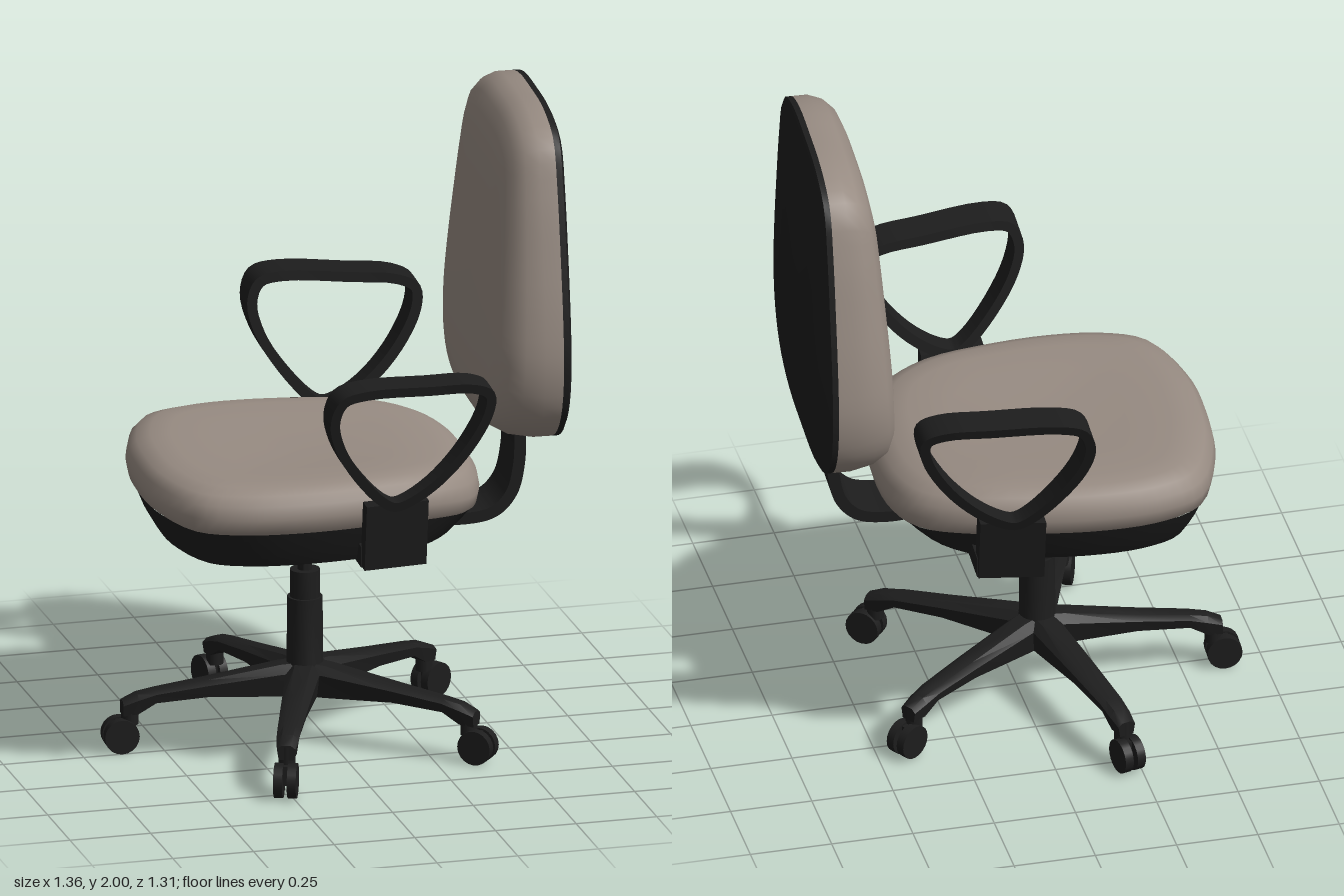
import * as THREE from 'three';
import { toCreasedNormals } from 'three/addons/utils/BufferGeometryUtils.js';

const fabric = new THREE.MeshStandardMaterial({ color: 0x978b82 });
fabric.name = 'taupe fabric';
const plastic = new THREE.MeshStandardMaterial({ color: 0x1d1d1d });
plastic.name = 'black plastic';

function add(parent, name, geometry, material, x = 0, y = 0, z = 0) {
  const mesh = new THREE.Mesh(geometry, material);
  mesh.name = name;
  mesh.position.set(x, y, z);
  parent.add(mesh);
  return mesh;
}

// Skin over rings of [x, y, z] points, each counterclockwise about the direction of travel
function skin(rings, loop = false, crease = 0.7) {
  const n = rings[0].length, index = [];
  const count = loop ? rings.length : rings.length - 1;
  for (let i = 0; i < count; i++) {
    const k = (i + 1) % rings.length;
    for (let j = 0; j < n; j++) {
      const m = (j + 1) % n;
      const a = i * n + j, b = i * n + m, c = k * n + m, d = k * n + j;
      index.push(a, b, c, a, c, d);
    }
  }
  const g = new THREE.BufferGeometry();
  g.setAttribute('position', new THREE.Float32BufferAttribute(rings.flat(2), 3));
  g.setIndex(index);
  return toCreasedNormals(g, crease);
}

// Smooth closed outline from one half [along, across], mirrored across its axis
function outline(half) {
  const other = half.slice(1, -1).reverse().map(([a, b]) => [a, -b]);
  const pts = [...half, ...other].map(([a, b]) => new THREE.Vector3(a, b, 0));
  return new THREE.CatmullRomCurve3(pts, true).getPoints(64).slice(0, -1);
}

// Collapse a ring to its middle, to cap an open end
function capRing(ring) {
  const mid = [0, 1, 2].map(k => ring.reduce((s, p) => s + p[k], 0) / ring.length);
  return ring.map(() => mid);
}

// Flat band following a path in the xy plane
function strip(path, thickness, halfWidth, centreZ, loop) {
  const pts = path.map(([x, y]) => new THREE.Vector3(x, y, 0));
  const curve = new THREE.CatmullRomCurve3(pts, loop);
  const steps = path.length > 2 ? 56 : 1, rings = [];
  for (let i = 0; i < (loop ? steps : steps + 1); i++) {
    const p = curve.getPoint(i / steps), t = curve.getTangent(i / steps);
    rings.push([[1, -1], [1, 1], [-1, 1], [-1, -1]].map(([s, w]) => {
      const x = p.x - t.y * s * thickness / 2, y = p.y + t.x * s * thickness / 2;
      return [x, y, centreZ(x, y) + w * halfWidth(y)];
    }));
  }
  if (!loop) {
    rings.unshift(capRing(rings[0]));
    rings.push(capRing(rings[rings.length - 1]));
  }
  return skin(rings, loop);
}

function addSeat(chair) {
  const shape = outline([[-0.52, 0], [-0.505, 0.2], [-0.425, 0.41], [-0.3, 0.472], [-0.12, 0.49],
    [0.1, 0.468], [0.3, 0.42], [0.43, 0.335], [0.49, 0.2], [0.508, 0]]);
  const rear = x => Math.max(0, (x - 0.15) / 0.35) ** 2;
  const ring = (s, y, lift) => shape.map(p => [p.x * s, y + lift * rear(p.x * s), p.y * s]);

  const cushion = [[0.94, 0.795], [0.985, 0.815], [1, 0.855], [0.985, 0.895], [0.94, 0.922],
    [0.86, 0.938], [0.75, 0.942], [0.5, 0.935], [0.25, 0.928], [0, 0.926]];
  add(chair, 'seatCushion', skin(cushion.map(([s, y]) => ring(s, y, -0.035)), false, 1), fabric);

  const pan = [[0, 0.69, 0.06], [0.5, 0.69, 0.06], [0.86, 0.69, 0.06], [0.91, 0.735, 0.02], [0.965, 0.805, -0.035]];
  add(chair, 'seatPan', skin(pan.map(r => ring(...r))), plastic);
}

function addBackrest(chair) {
  const midY = 1.45;
  const shape = outline([[2.0, 0], [1.99, 0.19], [1.935, 0.325], [1.8, 0.378], [1.6, 0.425], [1.4, 0.462],
    [1.25, 0.472], [1.12, 0.44], [1.03, 0.36], [0.98, 0.22], [0.97, 0]]);
  const ring = (s, x, lean) => shape.map(p => {
    const y = midY + (p.x - midY) * s;
    return [x + lean * (y - 1.25), y, p.y * s];
  });
  const cushion = [[0, 0.492, 0.07], [0.4, 0.492, 0.07], [0.7, 0.496, 0.07], [0.84, 0.508, 0.07],
    [0.92, 0.53, 0.06], [0.975, 0.575, 0.04], [1, 0.635, 0.01], [1, 0.69, 0]];
  add(chair, 'backCushion', skin(cushion.map(r => ring(...r)), false, 1), fabric);

  const shell = [[1, 0.69, 0], [1, 0.708, 0], [0.97, 0.716, 0], [0.6, 0.73, 0], [0, 0.735, 0]];
  add(chair, 'backShell', skin(shell.map(r => ring(...r))), plastic);

  // Curved bar joining seat and back
  const bar = [[0.22, 0.735], [0.36, 0.7], [0.47, 0.688], [0.56, 0.705], [0.612, 0.76], [0.635, 0.85], [0.64, 0.97], [0.65, 1.05]];
  add(chair, 'backSupport', strip(bar, 0.036, () => 0.092, () => 0, false), plastic);
}

function addArms(chair) {
  const loop = [[0.125, 0.905], [0.04, 1.0], [-0.025, 1.11], [-0.045, 1.2], [-0.02, 1.262], [0.05, 1.28], [0.25, 1.272],
    [0.39, 1.262], [0.442, 1.235], [0.44, 1.17], [0.385, 1.06], [0.3, 0.96], [0.215, 0.9], [0.165, 0.885]];
  for (const side of [1, -1]) {
    const arm = new THREE.Group();
    arm.name = side > 0 ? 'nearArmrest' : 'farArmrest';
    // Arms lean outward with height and splay toward the seat front
    const centre = (x, y) => side * (0.465 + 0.19 * Math.max(0, y - 0.72) - 0.14 * (x - 0.17));
    const half = y => 0.026 + 0.075 * THREE.MathUtils.clamp((y - 0.8) / 0.48, 0, 1) * 0.42;
    add(arm, 'armLoop', strip(loop, 0.03, half, centre, true), plastic);
    add(arm, 'armBracket', strip([[0.17, 0.685], [0.17, 0.895]], 0.195, () => 0.028, centre, false), plastic);
    chair.add(arm);
  }
  add(chair, 'armCrossbar', new THREE.BoxGeometry(0.2, 0.065, 0.94), plastic, 0.17, 0.716, 0);
}

function addBase(chair) {
  // Gas lift and sleeves
  const profile = [[0, 0.15], [0.055, 0.15], [0.065, 0.19], [0.055, 0.25], [0.053, 0.45], [0.045, 0.45],
    [0.045, 0.535], [0.022, 0.535], [0.022, 0.72], [0, 0.72]];
  const lathe = new THREE.LatheGeometry(profile.map(p => new THREE.Vector2(...p)), 24);
  add(chair, 'gasLift', toCreasedNormals(lathe, 0.6), plastic);
  add(chair, 'tiltMechanism', new THREE.BoxGeometry(0.14, 0.06, 0.13), plastic, 0.03, 0.73, 0);

  // Leg stations: distance, half width, top, bottom
  const stations = [[0, 0.058, 0.25, 0.15], [0.08, 0.05, 0.245, 0.15], [0.3, 0.042, 0.212, 0.162],
    [0.46, 0.036, 0.19, 0.152], [0.515, 0.034, 0.18, 0.12], [0.56, 0.028, 0.16, 0.115]];
  const rings = stations.map(([r, w, t, b]) => [[r, t, -w * 0.5], [r, t, w * 0.5], [r, t * 0.75 + b * 0.25, w],
    [r, b, w * 0.8], [r, b, -w * 0.8], [r, t * 0.75 + b * 0.25, -w]]);
  rings.push(capRing(rings[rings.length - 1]));
  const legGeometry = skin(rings);
  const wheel = new THREE.CylinderGeometry(0.053, 0.053, 0.027, 20).rotateX(Math.PI / 2);
  const boot = new THREE.CylinderGeometry(0.026, 0.026, 0.07, 14);
  const fork = new THREE.BoxGeometry(0.05, 0.06, 0.016);
  for (let i = 0; i < 5; i++) {
    const leg = new THREE.Group();
    leg.name = 'baseLeg' + (i + 1);
    leg.rotation.y = Math.PI + i * Math.PI * 2 / 5;
    add(leg, 'legSpoke', legGeometry, plastic);
    add(leg, 'casterStem', boot, plastic, 0.535, 0.12, 0);
    add(leg, 'casterFork', fork, plastic, 0.555, 0.07, 0);
    for (const s of [1, -1]) add(leg, 'casterWheel', wheel, plastic, 0.565, 0.053, s * 0.0205);
    chair.add(leg);
  }
}

export function createModel() {
  const model = new THREE.Group();
  model.name = 'officeChair';
  const chair = new THREE.Group();
  chair.name = 'chair';
  addSeat(chair);
  addBackrest(chair);
  addArms(chair);
  addBase(chair);
  // Chair faces -x with a slight turn
  chair.position.set(-0.065, 0, 0);
  chair.rotation.y = -0.055;
  model.add(chair);
  return model;
}
